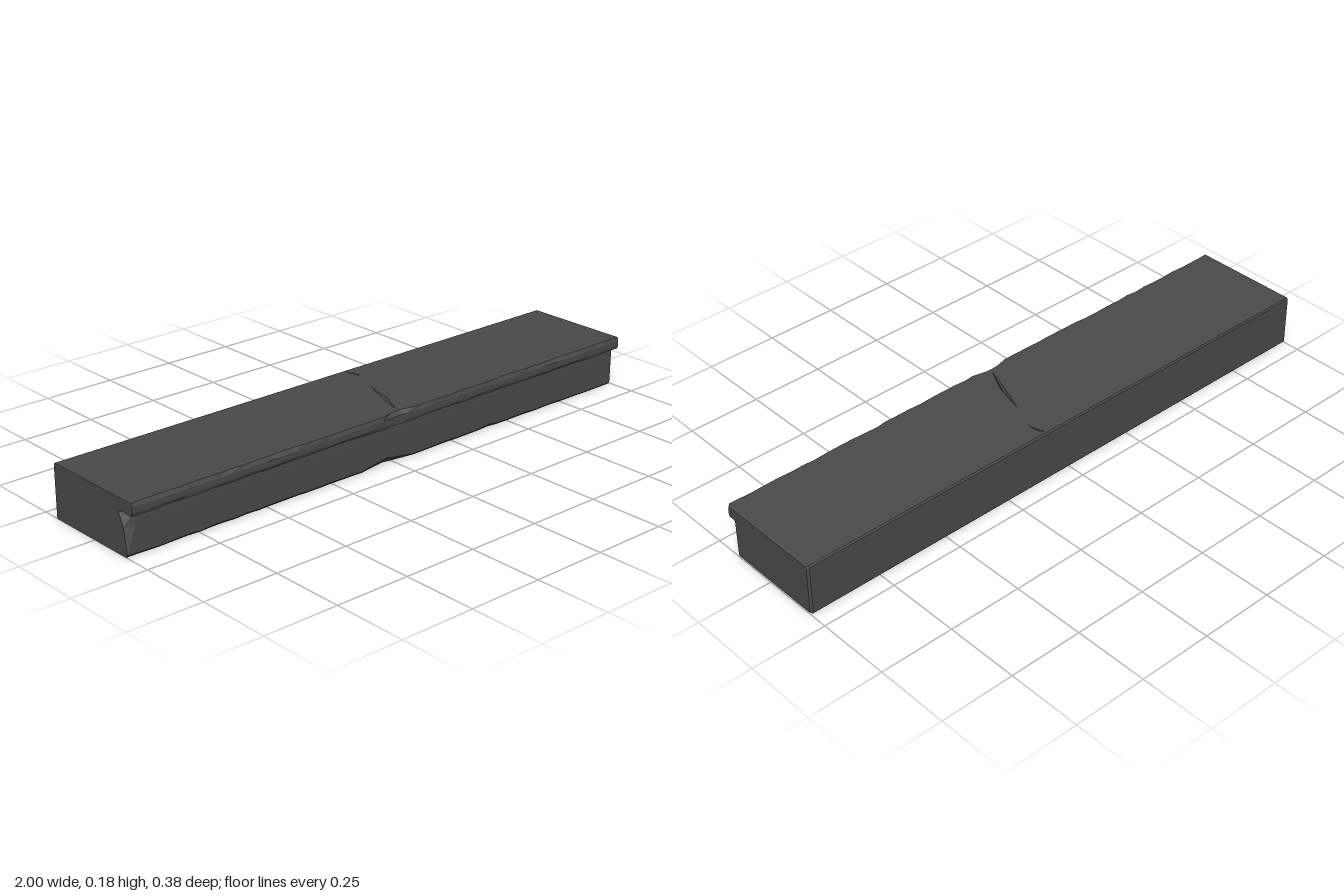
import * as THREE from 'three';

const TOP = 0.176;

// Small repeatable noise for chipped edges
function seeded(seed) {
  return () => {
    seed = (seed * 16807) % 2147483647;
    return seed / 2147483647;
  };
}

// Soft bump of a given half width around a centre
const bump = (x, centre, width) => Math.max(0, 1 - Math.abs(x - centre) / width);

// Cross-section as [z, y], from the back top edge, under the slab, to the front top edge
function section(x, rnd) {
  const worn = 0.007 * rnd() * rnd() + 0.012 * bump(x, 0, 0.05) + 0.006 * bump(x, -0.45, 0.06);
  const lip = 0.004 * rnd() + 0.006 * bump(x, 0, 0.05);
  const foot = 0.004 * rnd() + 0.016 * bump(x, -0.03, 0.1) + 0.004 * bump(x, 0.42, 0.08);
  const neck = 0.035 * bump(x, -1, 0.03);
  return [
    [-0.186, TOP], [-0.19, 0.171], [-0.19, 0.004], [-0.187, 0],
    [0.154 - foot, 0], [0.157, 0.004 + foot],
    [0.158 - neck * 0.4, 0.09], [0.158 - neck, 0.133],
    [0.164 - neck, 0.136 + 0.003 * rnd()], [0.184, 0.134 + 0.004 * rnd()],
    [0.19 - lip, 0.146], [0.19 - lip, 0.164], [0.185 - worn, TOP],
  ];
}

function slabGeometry(cracks) {
  const rnd = seeded(71);
  const positions = [];
  const tri = (a, b, c) => positions.push(...a, ...b, ...c);
  const flat = (pts) => pts.map(([u, v]) => new THREE.Vector2(u, v));

  // Sections along the length, the last one drawn in to bevel the right end
  const xs = [-1, -0.97];
  for (let i = 1; i < 44; i++) xs.push(-0.97 + 1.963 * (i + 0.5 * (rnd() - 0.5)) / 44);
  xs.push(0, 0.993);
  xs.sort((a, b) => a - b);
  const rings = xs.map((x) => section(x, rnd).map(([z, y]) => [x, y, z]));
  const last = rings[rings.length - 1];
  rings.push(last.map(([, y, z]) => [1, 0.088 + (y - 0.088) * 0.95, z * 0.97]));

  // Back, underside, front and lip
  const count = last.length;
  for (let i = 0; i < rings.length - 1; i++) {
    const bevel = i === rings.length - 2;
    for (let j = 0; j < (bevel ? count : count - 1); j++) {
      const k = (j + 1) % count;
      const a = rings[i][j], b = rings[i][k], c = rings[i + 1][k], d = rings[i + 1][j];
      tri(a, d, c);
      tri(a, c, b);
    }
  }

  // End faces
  [rings[0], rings[rings.length - 1]].forEach((ring, right) => {
    const contour = flat(ring.map(([, y, z]) => [z, y]));
    for (const [a, b, c] of THREE.ShapeUtils.triangulateShape(contour, [])) {
      if (right) tri(ring[a], ring[c], ring[b]);
      else tri(ring[a], ring[b], ring[c]);
    }
  });

  // Tread surface with openings for the cracks
  const tops = rings.slice(0, -1);
  const outline = [
    ...tops.map((r) => [r[0][0], r[0][2]]),
    ...tops.map((r) => [r[count - 1][0], r[count - 1][2]]).reverse(),
  ];
  const holes = cracks.map((pts) => {
    const h = flat(pts);
    return THREE.ShapeUtils.isClockWise(h) ? h : h.reverse();
  });
  const contour = flat(outline);
  const faces = THREE.ShapeUtils.triangulateShape(contour, holes);
  const all = [...contour, ...holes.flat()].map((p) => [p.x, TOP, p.y]);
  for (const [a, b, c] of faces) tri(all[a], all[c], all[b]);

  // Sloping crack walls meeting at a low point
  for (const h of holes) {
    const mid = [0, TOP - 0.014, 0];
    h.forEach((p) => {
      mid[0] += p.x / h.length;
      mid[2] += p.y / h.length;
    });
    h.forEach((p, i) => {
      const q = h[(i + 1) % h.length];
      tri([p.x, TOP, p.y], [q.x, TOP, q.y], mid);
    });
  }

  const geometry = new THREE.BufferGeometry();
  geometry.setAttribute('position', new THREE.Float32BufferAttribute(positions, 3));
  geometry.computeVertexNormals();
  return geometry;
}

export function createModel() {
  const stone = new THREE.MeshStandardMaterial({ color: 0x4a4a4a });
  stone.name = 'darkStone';

  // Thin cracks on the tread, as [x, z]
  const cracks = [
    [[0.002, 0.162], [0.027, 0.085], [0.074, -0.036], [0.045, 0.075]],
    [[0.094, -0.182], [0.103, -0.155], [0.112, -0.12], [0.109, -0.16]],
  ];

  const step = new THREE.Mesh(slabGeometry(cracks), stone);
  step.name = 'stoneStep';

  const model = new THREE.Group();
  model.name = 'wornStoneStep';
  model.add(step);
  return model;
}
